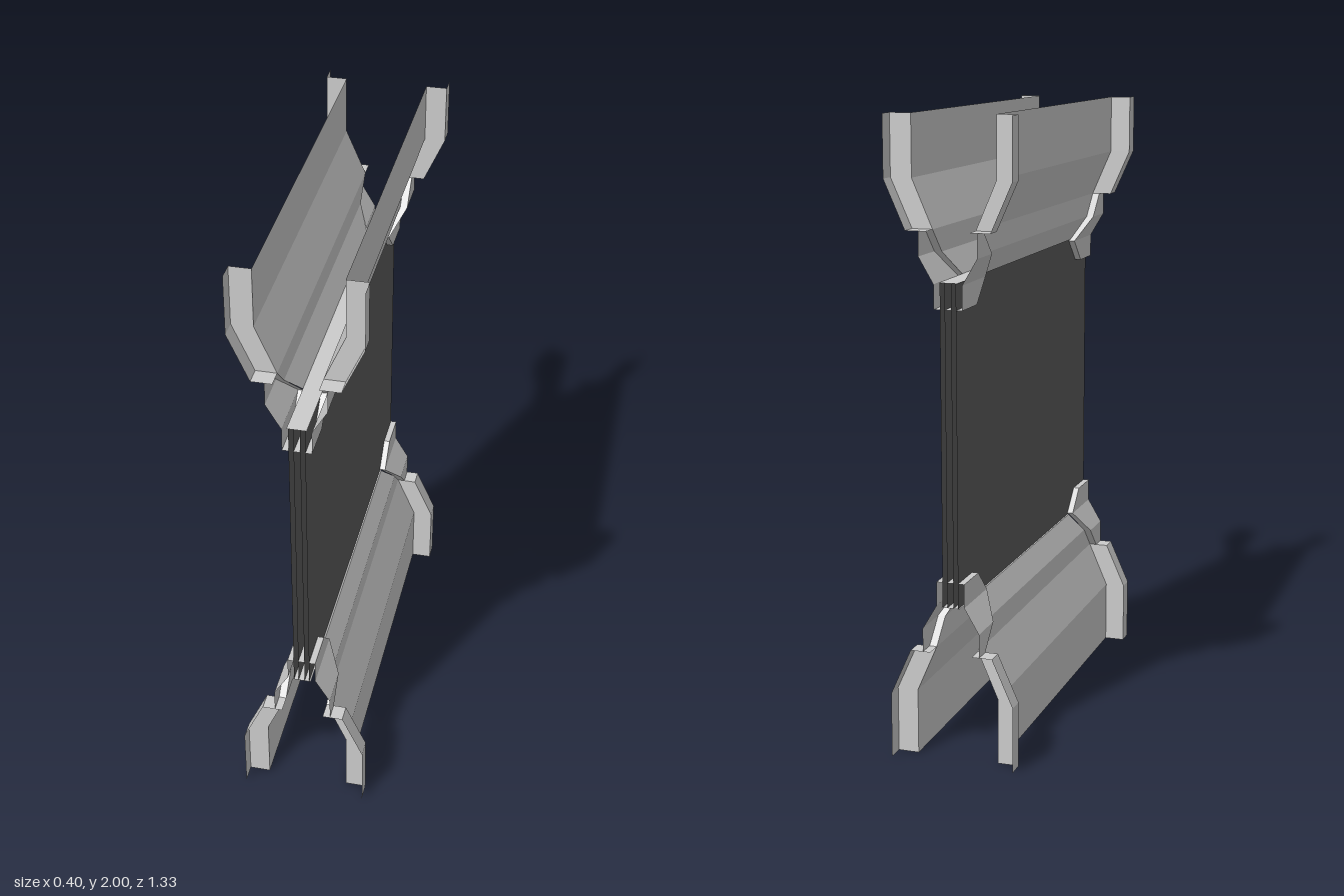
import * as THREE from 'three';

const grey = new THREE.MeshStandardMaterial({ color: 0xcccccc, flatShading: true, side: THREE.DoubleSide });
const dark = new THREE.MeshStandardMaterial({ color: 0x5c5c5c, flatShading: true, side: THREE.DoubleSide });

// Sheet spanned between two rows of points
function sheet(name, rowA, rowB, material = grey) {
  const pos = [];
  for (let i = 0; i < rowA.length - 1; i++) {
    const [a, b, c, d] = [rowA[i], rowB[i], rowB[i + 1], rowA[i + 1]];
    pos.push(...a, ...b, ...c, ...a, ...c, ...d);
  }
  const geo = new THREE.BufferGeometry();
  geo.setAttribute('position', new THREE.Float32BufferAttribute(pos, 3));
  geo.computeVertexNormals();
  const mesh = new THREE.Mesh(geo, material);
  mesh.name = name;
  return mesh;
}

const END = 0.667;   // half length
const POST = 0.61;   // inner edge of the end posts

// Half of a rail (the +x side); shift shortens the base
function railSide(shift) {
  const side = new THREE.Group();
  side.name = 'railSide';
  const y = (v) => v - shift;

  // long folded panel: [x, y, half length]
  const panel = [[0.133, 0, POST], [0.133, y(0.21), POST], [0.068, y(0.36), POST],
    [0.068, y(0.435), 0.535], [0.03, y(0.51), 0.463]];
  side.add(sheet('foldedPanel', panel.map(([x, h, z]) => [x, h, z]), panel.map(([x, h, z]) => [x, h, -z])));

  // profiles of the end parts: [outer x, inner x, y, inner z]
  const post = [[0.2, 0.133, 0, POST], [0.2, 0.133, y(0.21), POST], [0.133, 0.068, y(0.36), POST]];
  const bracket = [[0.092, 0.068, y(0.36), POST], [0.092, 0.068, y(0.435), 0.535],
    [0.045, 0.025, y(0.515), 0.463], [0.045, 0.025, y(0.59), 0.54]];

  for (const s of [1, -1]) {
    for (const [name, profile] of [['endPost', post], ['cornerBracket', bracket]]) {
      const outer = profile.map(([x, , h, z]) => [x, h, s * z]);
      const inner = profile.map(([, x, h, z]) => [x, h, s * z]);
      const edge = profile.map(([x, , h]) => [x, h, s * END]);
      side.add(sheet(name + 'Face', edge, outer));
      side.add(sheet(name + 'Return', outer, inner));
      // flat top
      const [xo, xi, h, z] = profile[profile.length - 1];
      side.add(sheet(name + 'Top', [[xo, h, s * END], [xi, h, s * END]], [[xo, h, s * z], [xi, h, s * z]]));
    }
    // half of the middle spacer between the panes
    const spacer = [[y(0.51), 0.463], [y(0.59), 0.54], [y(0.59), END]];
    side.add(sheet('middleSpacer', spacer.map(([h, z]) => [0, h, s * z]), spacer.map(([h, z]) => [0.01, h, s * z])));
  }

  // seat under the panes
  side.add(sheet('paneSeat', [[0, y(0.51), END], [0.03, y(0.51), END]], [[0, y(0.51), -END], [0.03, y(0.51), -END]]));
  return side;
}

function rail(name, shift) {
  const group = new THREE.Group();
  group.name = name;
  const left = railSide(shift);
  const right = railSide(shift);
  right.scale.x = -1;
  group.add(left, right);
  return group;
}

export function createModel() {
  const model = new THREE.Group();
  model.name = 'doublePanePanel';

  // bottom rail and its upside-down twin
  const lower = rail('bottomRail', 0);
  const upper = rail('topRail', 0.02);
  upper.scale.y = -1;
  upper.position.y = 2;
  model.add(lower, upper);

  // dark panes
  for (const x of [-0.025, -0.01, 0.01, 0.025]) {
    model.add(sheet('pane', [[x, 0.51, END], [x, 1.51, END]], [[x, 0.51, -END], [x, 1.51, -END]], dark));
  }
  return model;
}
